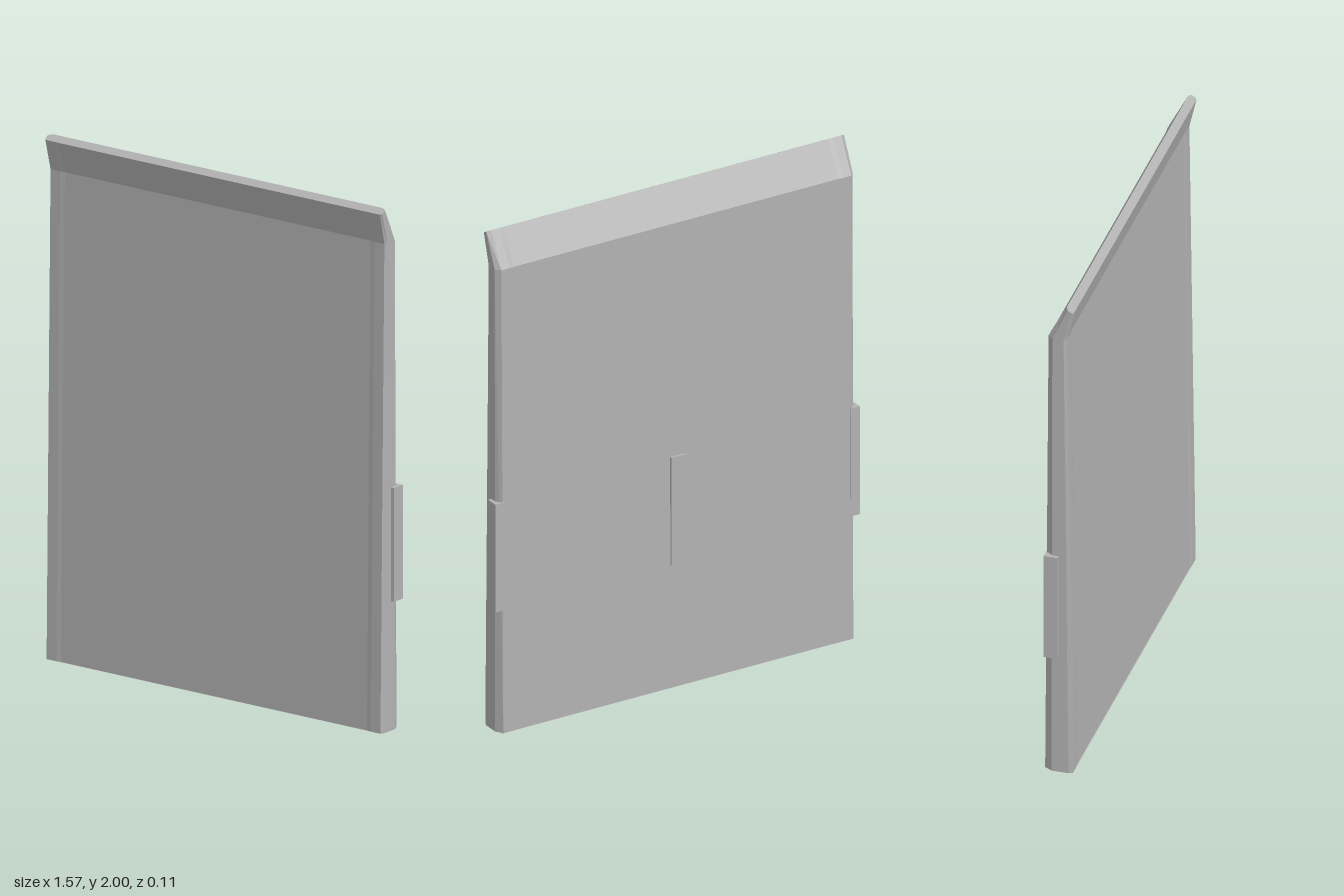
import * as THREE from 'three';

export function createModel() {
  const model = new THREE.Group();
  model.name = 'panelModel';
  const grey = new THREE.MeshStandardMaterial({ color: 0xb2b2b2 });
  grey.name = 'plainGrey';

  // Half outline of the panel: x, and depth fraction from back (0) to front (1)
  const half = [
    [0.70, 0.03], [0.72, 0], [0.755, 0], [0.772, 0.27],
    [0.771, 0.86], [0.764, 1], [0.72, 1], [0.70, 0.97],
  ];
  const outline = [...half, ...half.map(([x, f]) => [-x, f]).reverse()];

  // Levels from the foot to the bent lip: back and front as [y, z]
  const levels = [
    { back: [0, -0.056], front: [0, 0.053] },
    { back: [1.865, -0.043], front: [1.865, 0.029] },
    { back: [2, 0.027], front: [1.983, 0.056] },
  ];
  const rings = levels.map(({ back, front }) => outline.map(([x, f]) => [
    x,
    THREE.MathUtils.lerp(back[0], front[0], f),
    THREE.MathUtils.lerp(back[1], front[1], f),
  ]));

  // Skin between the levels, then the two ends, with hard facets
  const n = outline.length;
  const pos = [];
  const tri = (a, b, c) => pos.push(...a, ...b, ...c);
  for (let l = 0; l < rings.length - 1; l++) {
    for (let i = 0; i < n; i++) {
      const j = (i + 1) % n;
      const a = rings[l][i], b = rings[l][j], c = rings[l + 1][j], d = rings[l + 1][i];
      tri(a, c, b);
      tri(a, d, c);
    }
  }
  const top = rings[rings.length - 1], foot = rings[0];
  // Each end is closed by strips joining mirrored points
  for (let i = 0; i < n / 2 - 1; i++) {
    const k = n - 1 - i;
    tri(top[i], top[k], top[k - 1]);
    tri(top[i], top[k - 1], top[i + 1]);
    tri(foot[i], foot[k - 1], foot[k]);
    tri(foot[i], foot[i + 1], foot[k - 1]);
  }
  const skin = new THREE.BufferGeometry();
  skin.setAttribute('position', new THREE.Float32BufferAttribute(pos, 3));
  skin.computeVertexNormals();
  const panel = new THREE.Mesh(skin, grey);
  panel.name = 'panel';
  model.add(panel);

  // Raised tabs on both sides and on the back
  const addTab = (name, w, d, x, z) => {
    const tab = new THREE.Mesh(new THREE.BoxGeometry(w, 0.435, d), grey);
    tab.name = name;
    tab.position.set(x, 0.712, z);
    model.add(tab);
  };
  addTab('leftTab', 0.04, 0.053, 0.766, -0.0265);
  addTab('rightTab', 0.04, 0.053, -0.766, -0.0265);
  addTab('backTab', 0.06, 0.02, 0, -0.048);
  return model;
}
